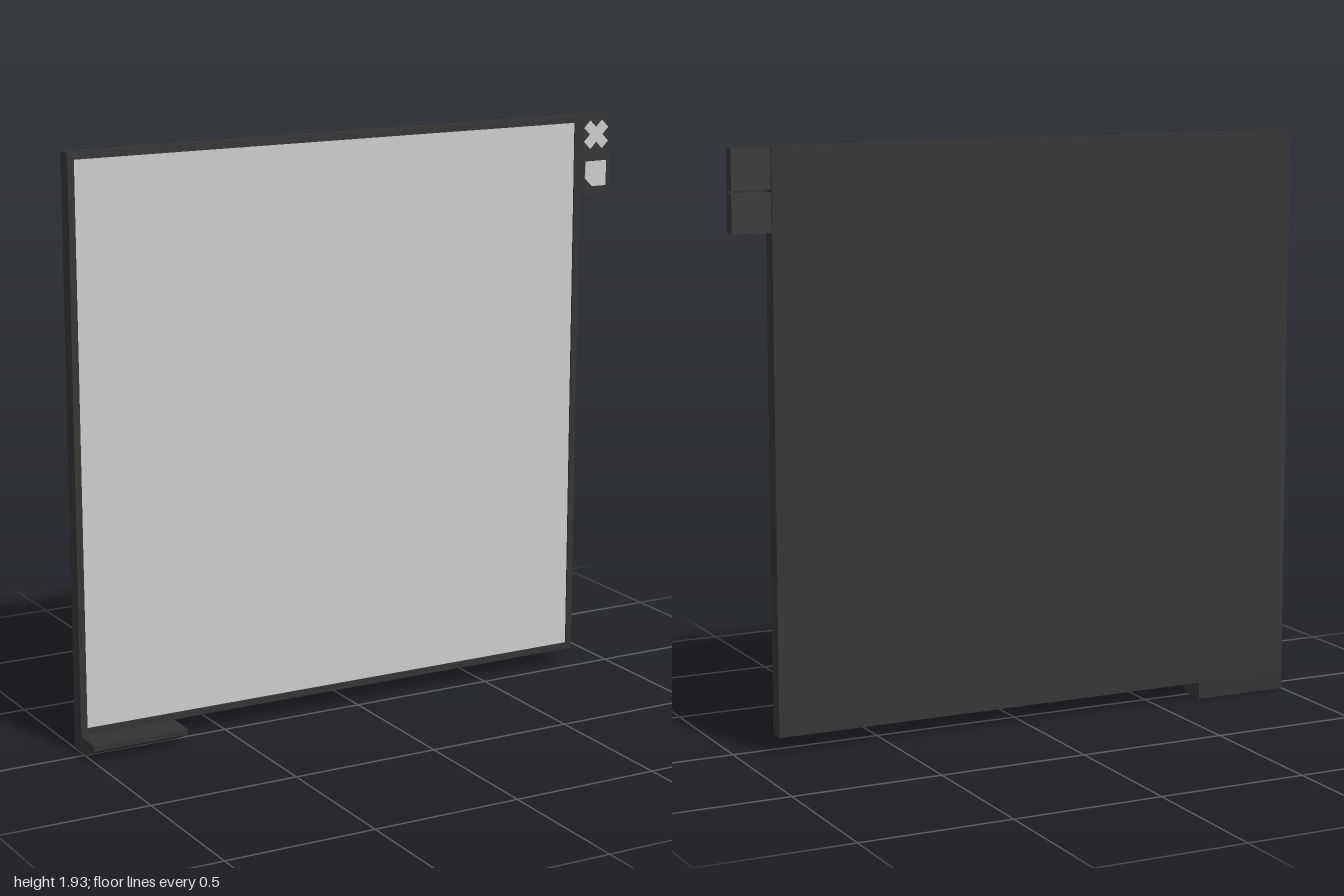
import * as THREE from 'three';

const dark = new THREE.MeshStandardMaterial({ color: 0x333333, flatShading: true });
const grey = new THREE.MeshStandardMaterial({ color: 0xcccccc, flatShading: true });

const polygon = (points) => new THREE.Shape(points.map(([x, y]) => new THREE.Vector2(x, y)));
const rect = (x0, y0, x1, y1) => [[x0, y0], [x1, y0], [x1, y1], [x0, y1]];

// Extrudes a front-facing outline from z0 to z1
function slab(name, shape, z0, z1, material) {
  const geometry = new THREE.ExtrudeGeometry(shape, { depth: z1 - z0, bevelEnabled: false });
  geometry.translate(0, 0, z0);
  const mesh = new THREE.Mesh(geometry, material);
  mesh.name = name;
  return mesh;
}

export function createModel() {
  const model = new THREE.Group();
  model.name = 'displayPanel';

  // Backing and raised rim around the screen
  const frame = polygon(rect(-1, 0.057, 0.87, 1.93));
  frame.holes.push(polygon(rect(-0.978, 0.079, 0.848, 1.908)));
  model.add(slab('backing', polygon(rect(-1, 0.057, 0.87, 1.93)), -0.075, -0.035, dark));
  model.add(slab('frame', frame, -0.035, -0.023, dark));
  model.add(slab('screen', polygon(rect(-0.978, 0.079, 0.848, 1.908)), -0.035, -0.028, grey));

  // Two button tabs on the upper left edge
  [['closeButton', 1.798, 1.928], ['windowButton', 1.665, 1.79]].forEach(([name, y0, y1]) => {
    model.add(slab(name, polygon(rect(0.87, y0, 1, y1)), -0.069, -0.03, dark));
  });

  // Cross symbol: a plus outline turned by 45 degrees
  const a = 0.017, b = 0.05;
  const cross = slab('crossSymbol', polygon([
    [a, a], [a, b], [-a, b], [-a, a], [-b, a], [-b, -a],
    [-a, -a], [-a, -b], [a, -b], [a, -a], [b, -a], [b, a],
  ]), -0.03, -0.025, grey);
  cross.rotation.z = Math.PI / 4;
  cross.position.set(0.936, 1.863, 0);
  model.add(cross);

  // Square symbol with one clipped corner
  model.add(slab('squareSymbol', polygon([
    [0.922, 1.688], [0.977, 1.688], [0.977, 1.773], [0.895, 1.773], [0.895, 1.715],
  ]), -0.03, -0.025, grey));

  // Wedge-fronted ledge below the right corner, profile drawn as (-z, y)
  const ledge = slab('ledge', polygon([
    [0.075, 0], [0.075, 0.057], [-0.075, 0.054], [-0.075, 0.035], [0, 0],
  ]), -1, -0.67, dark);
  ledge.geometry.rotateY(Math.PI / 2);
  model.add(ledge);

  return model;
}
